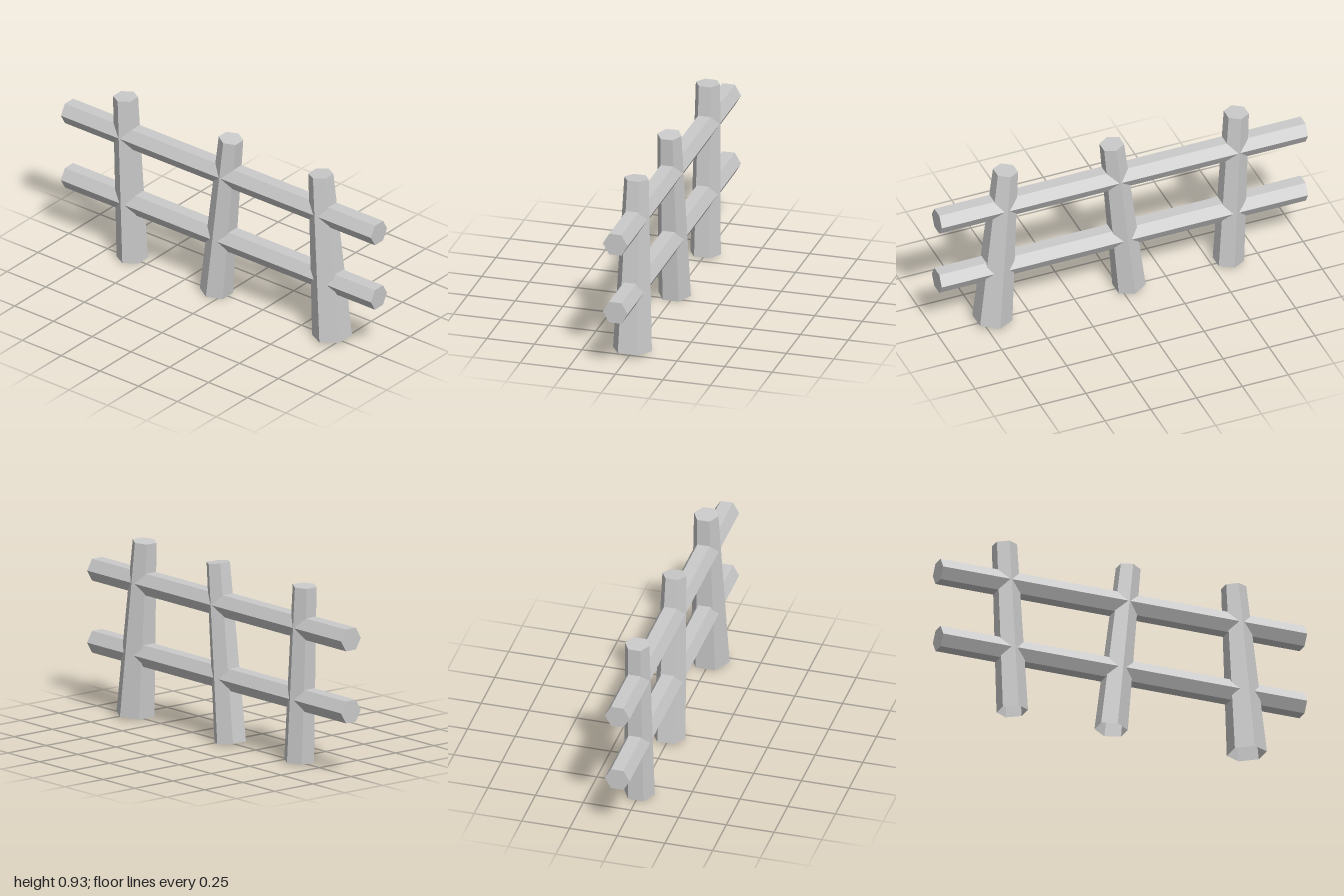
import * as THREE from 'three';

const UP = new THREE.Vector3(0, 1, 0);

export function createModel() {
  const group = new THREE.Group();
  group.name = 'fence';
  const solid = new THREE.MeshStandardMaterial({ color: 0xcccccc, flatShading: true });
  const open = new THREE.MeshStandardMaterial({ color: 0xcccccc, flatShading: true, side: THREE.DoubleSide });

  // Leaning, tapered six-sided posts: capped on top, open underneath
  const addPost = (name, x0, y0, r0, x1, y1, r1) => {
    const from = new THREE.Vector3(x0, y0, 0);
    const to = new THREE.Vector3(x1, y1, 0);
    const axis = to.clone().sub(from);
    const length = axis.length();

    const post = new THREE.Group();
    post.name = name;
    const shaft = new THREE.Mesh(new THREE.CylinderGeometry(r1, r0, length, 6, 1, true), open);
    shaft.name = name + 'Shaft';
    const cap = new THREE.Mesh(new THREE.CircleGeometry(r1, 6, Math.PI / 2), solid);
    cap.name = name + 'Cap';
    cap.rotation.x = -Math.PI / 2;
    cap.position.y = length / 2;
    post.add(shaft, cap);
    post.position.copy(from).add(to).multiplyScalar(0.5);
    post.quaternion.setFromUnitVectors(UP, axis.normalize());
    group.add(post);
  };
  addPost('rightPost', -0.592, 0.011, 0.08, -0.635, 0.924, 0.064);
  addPost('middlePost', -0.049, 0.01, 0.085, 0.045, 0.922, 0.063);
  addPost('leftPost', 0.697, 0.016, 0.102, 0.625, 0.924, 0.064);

  // Straight six-sided rails through the posts, flat sides up and down
  const railGeometry = new THREE.CylinderGeometry(0.065, 0.065, 2, 6).rotateZ(Math.PI / 2);
  for (const [name, y] of [['lowerRail', 0.339], ['upperRail', 0.712]]) {
    const rail = new THREE.Mesh(railGeometry, solid);
    rail.name = name;
    rail.position.y = y;
    group.add(rail);
  }
  return group;
}
